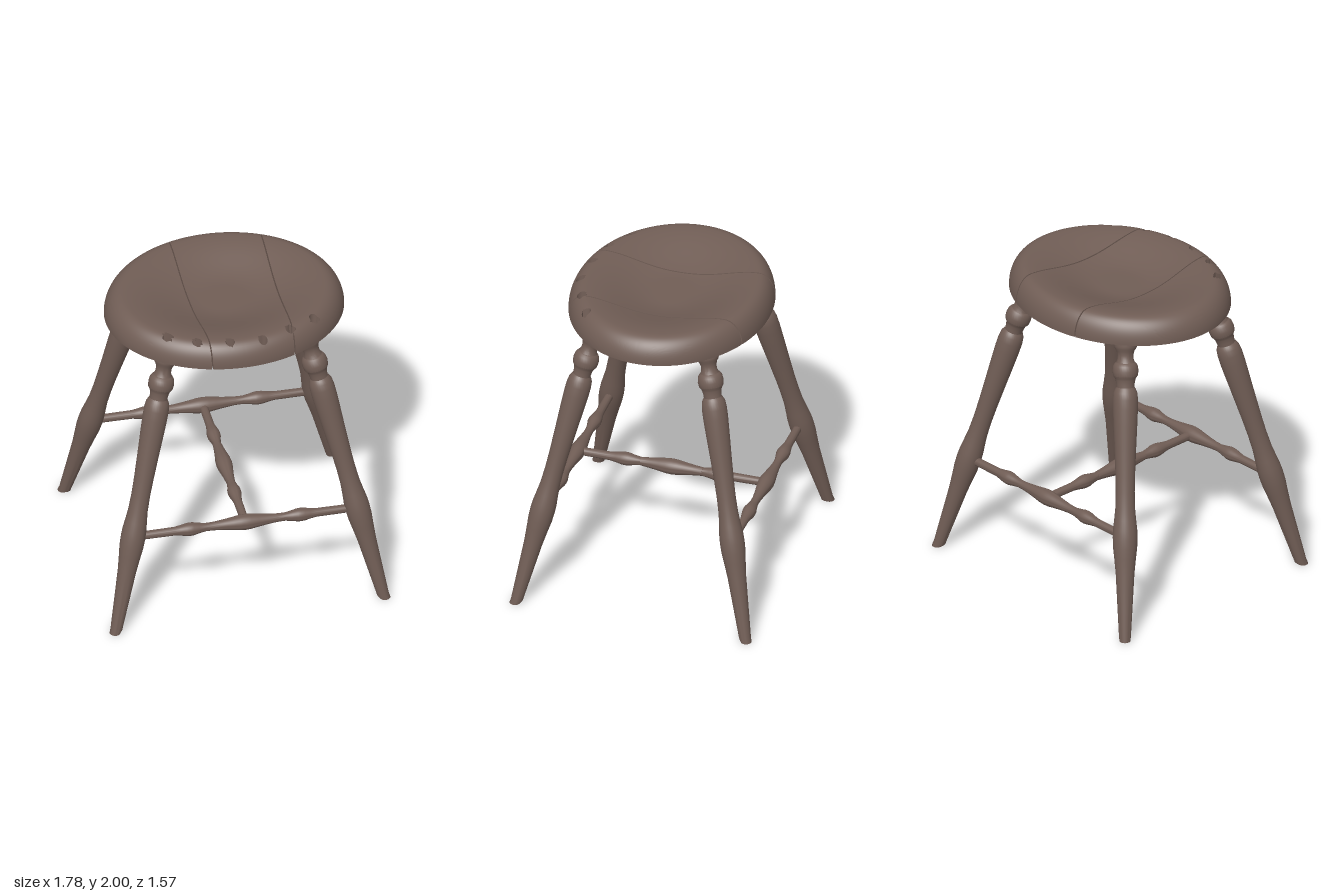
import * as THREE from 'three';
import { toCreasedNormals } from 'three/addons/utils/BufferGeometryUtils.js';

const wood = new THREE.MeshStandardMaterial({ color: 0x705d55 });
wood.name = 'brown wood';

const A = 0.75, B = 0.63; // seat half width and half depth
const HOLES = [[-0.45, 0.41], [-0.28, 0.5], [-0.08, 0.545], [0.125, 0.555], [0.31, 0.49], [0.48, 0.405]];
const HOLE_R = 0.029;

const rho = (x, z) => Math.min(1, Math.hypot(x / A, z / B));

// Dished top with a rounded rim, a little higher at the back
function topHeight(x, z) {
  const r = rho(x, z);
  if (r > 0.84) {
    const k = (r - 0.84) / 0.16;
    return 1.835 + (0.157 - 0.008 * z) * Math.sqrt(Math.max(0, 1 - k * k));
  }
  return 1.992 - 0.008 * z - 0.085 * (1 - THREE.MathUtils.smoothstep(r, 0.2, 0.84));
}

// Underside: flat rim, then a shallow step down
const bottomHeight = (x, z) => 1.812 + 0.023 * THREE.MathUtils.smoothstep(rho(x, z), 0.62, 0.85);

// Point on the top, with blind holes sunk into the front rim
function topPoint(x, z) {
  for (const [hx, hz] of HOLES) {
    const dx = x - hx, dz = z - hz, d = Math.hypot(dx, dz);
    if (d > HOLE_R + 0.006 || d < 1e-6) continue;
    const inside = d < HOLE_R - 0.006;
    const s = inside ? (HOLE_R * 0.96) / (HOLE_R - 0.006) : HOLE_R / d;
    const px = hx + dx * s, pz = hz + dz * s;
    return [px, inside ? 1.86 : topHeight(px, pz), pz];
  }
  return [x, topHeight(x, z), z];
}

// One seat board between x0 and x1; k0 and k1 slant its two long edges
function board(name, x0, x1, k0, k1, cols) {
  const rows = 72, pos = [], index = [];
  const t0 = Math.asin(x0 / A), t1 = Math.asin(x1 / A);
  const n = rows + 1;
  for (let i = 0; i <= cols; i++) {
    const u = i / cols;
    const xm = A * Math.sin(t0 + (t1 - t0) * u);
    const k = k0 + (k1 - k0) * u;
    // where this column meets the outline, front and back
    const reach = [-1, 1].map((side) => {
      let z = 0;
      for (let j = 0; j < 6; j++) z = side * B * Math.sqrt(Math.max(0, 1 - ((xm + k * z) / A) ** 2));
      return z;
    });
    const top = [], bottom = [];
    for (let j = 0; j <= rows; j++) {
      const s = Math.sin((j / rows - 0.5) * Math.PI);
      const z = s < 0 ? -s * reach[0] : s * reach[1];
      const x = xm + k * z;
      top.push(...topPoint(x, z));
      bottom.push(x, bottomHeight(x, z), z);
    }
    pos.push(...top, ...bottom);
  }
  const quad = (a, b, c, d) => index.push(a, b, c, a, c, d);
  for (let i = 0; i < cols; i++) {
    for (let j = 0; j < rows; j++) {
      const a = i * 2 * n + j, b = a + 2 * n;
      quad(a, a + 1, b + 1, b);
      quad(a + n, b + n, b + n + 1, a + n + 1);
    }
  }
  // cut faces along the gaps
  for (let j = 0; j < rows; j++) {
    const e = cols * 2 * n + j;
    quad(j, j + n, j + n + 1, j + 1);
    quad(e, e + 1, e + n + 1, e + n);
  }
  const geo = new THREE.BufferGeometry();
  geo.setAttribute('position', new THREE.Float32BufferAttribute(pos, 3));
  geo.setIndex(index);
  const mesh = new THREE.Mesh(toCreasedNormals(geo, 0.7), wood);
  mesh.name = name;
  return mesh;
}

// Turned piece from [radius, height] pairs
function turned(profile) {
  return toCreasedNormals(new THREE.LatheGeometry(profile.map(([r, y]) => new THREE.Vector2(r, y)), 32), 0.5);
}

const LEG = [
  [0, -0.03], [0.034, -0.03], [0.037, 0.02], [0.047, 0.2], [0.058, 0.4], [0.068, 0.5], [0.075, 0.56],
  [0.077, 0.62], [0.075, 0.67], [0.068, 0.73], [0.061, 0.8], [0.059, 0.9], [0.061, 1.0], [0.067, 1.15],
  [0.074, 1.3], [0.078, 1.4], [0.078, 1.46], [0.073, 1.5], [0.063, 1.52], [0.056, 1.53], [0.057, 1.55],
  [0.062, 1.575], [0.066, 1.585], [0.077, 1.6], [0.081, 1.63], [0.076, 1.66], [0.066, 1.675],
  [0.058, 1.68], [0.05, 1.7], [0.049, 1.725], [0.056, 1.75], [0.067, 1.765], [0.072, 1.78],
  [0.074, 1.81], [0.074, 1.845], [0, 1.845],
];

function leg(name, sx, sz) {
  const foot = new THREE.Vector3(0.85 * sx, 0, 0.745 * sz);
  const axis = new THREE.Vector3(0.445 * sx, 1.82, 0.365 * sz).sub(foot);
  const stretch = axis.length() / 1.82;
  const geo = turned(LEG.map(([r, y]) => [r, y * stretch]));
  geo.applyQuaternion(new THREE.Quaternion().setFromUnitVectors(new THREE.Vector3(0, 1, 0), axis.normalize()));
  geo.translate(foot.x, foot.y, foot.z);
  // level the foot on the floor
  const p = geo.attributes.position;
  for (let i = 0; i < p.count; i++) if (p.getY(i) < 0) p.setY(i, 0);
  const mesh = new THREE.Mesh(geo, wood);
  mesh.name = name;
  return mesh;
}

// Stretcher with a centre swelling and two smaller beads
function stretcher(name, half, bead, alongX) {
  const side = [
    [0.05, 0], [0.048, 0.035], [0.041, 0.08], [0.033, 0.14], [0.027, 0.2], [0.026, bead - 0.1],
    [0.033, bead - 0.055], [0.041, bead - 0.02], [0.042, bead], [0.04, bead + 0.025],
    [0.033, bead + 0.06], [0.027, bead + 0.1], [0.026, half],
  ];
  const mirrored = side.slice(1).reverse().map(([r, y]) => [r, -y]);
  const mesh = new THREE.Mesh(turned([...mirrored, ...side]), wood);
  if (alongX) mesh.rotation.z = -Math.PI / 2;
  else mesh.rotation.x = Math.PI / 2;
  mesh.position.y = 0.62;
  mesh.name = name;
  return mesh;
}

export function createModel() {
  const model = new THREE.Group();
  model.name = 'stool';

  const seat = new THREE.Group();
  seat.name = 'seat';
  const gap = 0.004;
  seat.add(
    board('rightSeatBoard', -A * 0.99999, -0.22 - gap, 0, 0.025, 48),
    board('middleSeatBoard', -0.22 + gap, 0.333 - gap, 0.025, -0.0125, 48),
    board('leftSeatBoard', 0.333 + gap, A * 0.99999, -0.0125, 0, 40),
  );
  model.add(seat);

  for (const sx of [-1, 1]) {
    for (const sz of [-1, 1]) {
      model.add(leg(`${sz > 0 ? 'front' : 'back'}${sx > 0 ? 'Left' : 'Right'}Leg`, sx, sz));
    }
  }

  for (const sz of [-1, 1]) {
    const bar = stretcher(sz > 0 ? 'frontStretcher' : 'backStretcher', 0.69, 0.35, true);
    bar.position.z = 0.612 * sz;
    model.add(bar);
  }
  model.add(stretcher('middleStretcher', 0.6, 0.3, false));
  return model;
}
